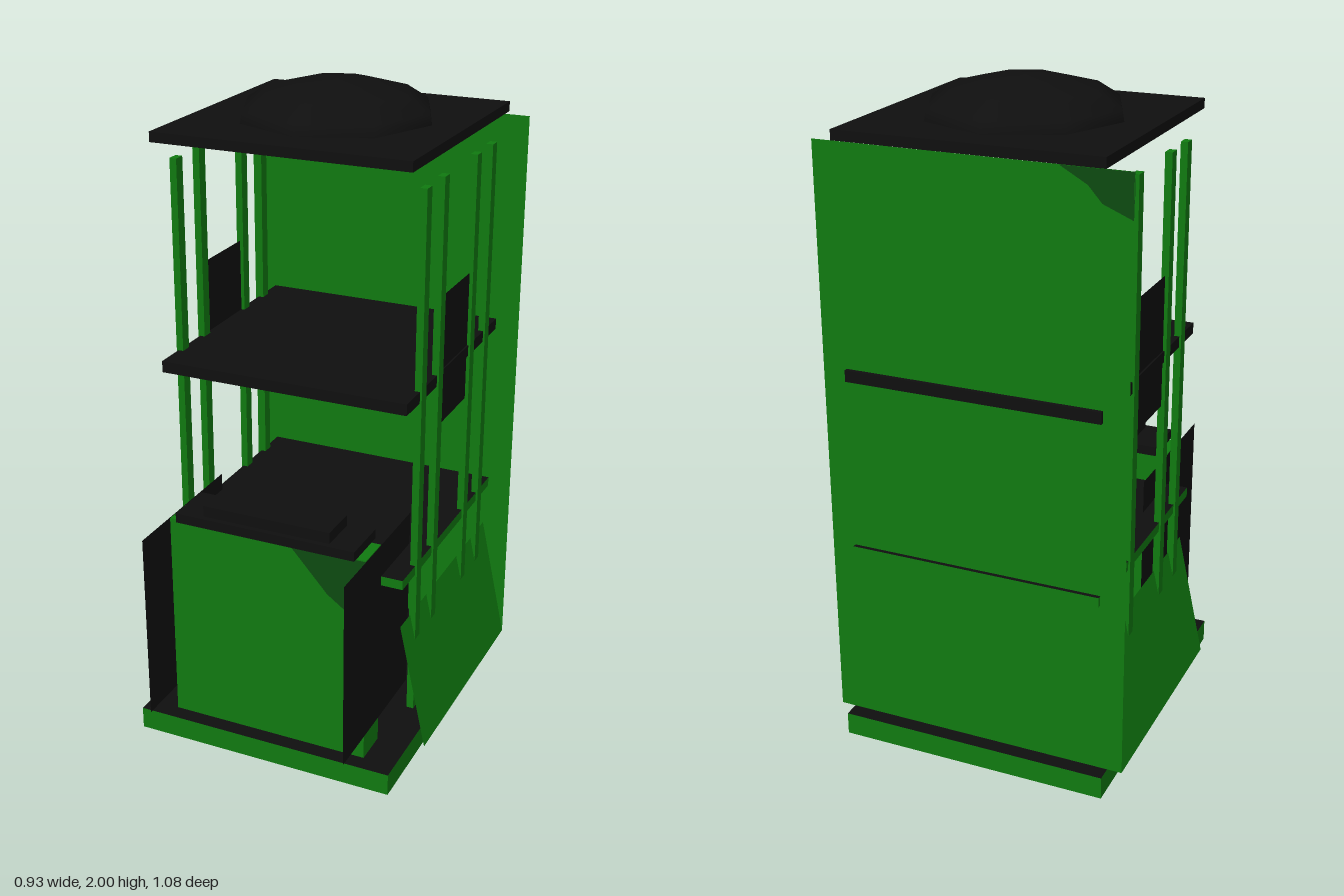
import * as THREE from 'three';

const mat = (name, color, side = THREE.FrontSide) => {
  const m = new THREE.MeshStandardMaterial({ color, side });
  m.name = name;
  return m;
};

export function createModel() {
  const green = mat('green', 0x107a10, THREE.DoubleSide);
  const darkGreen = mat('dark green', 0x0d4a10, THREE.DoubleSide);
  const black = mat('black', 0x0f0f0f, THREE.DoubleSide);
  const blackTopped = [green, green, black, black, green, green];
  const model = new THREE.Group();

  const add = (name, geometry, material) => {
    const mesh = new THREE.Mesh(geometry, material);
    mesh.name = name;
    model.add(mesh);
    return mesh;
  };
  // Box given by its limits on each axis
  const box = (name, x0, x1, y0, y1, z0, z1, material) => {
    const g = new THREE.BoxGeometry(x1 - x0, y1 - y0, z1 - z0);
    g.translate((x0 + x1) / 2, (y0 + y1) / 2, (z0 + z1) / 2);
    return add(name, g, material);
  };
  // Flat painted triangle facing front and back
  const triangle = (name, points, z) => {
    const shape = new THREE.Shape(points.map(([x, y]) => new THREE.Vector2(x, y)));
    add(name, new THREE.ShapeGeometry(shape).translate(0, 0, z), darkGreen);
  };

  // Base and shelves
  box('base', -0.42, 0.42, 0, 0.07, -0.54, 0.43, blackTopped);
  box('lowerShelf', -0.39, 0.39, 0.61, 0.64, -0.505, 0.27, blackTopped);
  box('upperShelf', -0.39, 0.39, 1.165, 1.2, -0.505, 0.27, black);

  // Thin back panel with a darker top corner
  add('backPanel', new THREE.PlaneGeometry(0.93, 1.785).translate(0, 0.9625, -0.492), green);
  for (const z of [-0.489, -0.495]) {
    triangle('backPanelCorner', [[-0.465, 1.855], [-0.465, 1.73], [-0.38, 1.765], [-0.34, 1.81], [-0.26, 1.855]], z);
  }

  // Roof with a faceted dome
  box('roof', -0.395, 0.395, 1.86, 1.89, -0.51, 0.28, black);
  const domeProfile = [[0.295, 1.89], [0.288, 1.922], [0.22, 1.965], [0.12, 1.99], [0, 2]]
    .map(([r, y]) => new THREE.Vector2(r, y));
  add('roofDome', new THREE.LatheGeometry(domeProfile, 8).translate(0, 0, -0.118), black);

  for (const s of [-1, 1]) {
    // Sloping side panel, leaning inward at the top
    const panel = new THREE.PlaneGeometry(0.742, 0.4).rotateY(s * Math.PI / 2);
    panel.translate(0, 0.27, -0.121);
    const p = panel.attributes.position;
    for (let i = 0; i < p.count; i++) p.setX(i, s * (p.getY(i) > 0.27 ? 0.378 : 0.465));
    panel.computeVertexNormals();
    add('sidePanel', panel, green);

    // Upright posts
    for (const z of [0.153, 0.018, -0.25, -0.385]) {
      box('post', s * 0.385 - 0.011, s * 0.385 + 0.011, 0.14, 1.79, z - 0.018, z + 0.018, green);
    }

    // Thin plate between the middle posts
    const plate = new THREE.PlaneGeometry(0.235, 0.405).rotateY(s * Math.PI / 2);
    add('postPlate', plate.translate(s * 0.385, 1.228, -0.117), black);

    // Thin plate on each side of the front cabinet
    const wing = new THREE.PlaneGeometry(0.495, 0.595).rotateY(s * Math.PI / 2);
    add('cabinetSidePlate', wing.translate(s * 0.322, 0.4475, 0.2925), black);
  }

  // Front cabinet with a stepped cap and a darker corner
  box('cabinet', -0.32, 0.32, 0.07, 0.745, 0.27, 0.38, green);
  box('cabinetCap', -0.29, 0.29, 0.745, 0.775, 0.24, 0.397, black);
  box('cabinetCapTop', -0.205, 0.205, 0.775, 0.81, 0.256, 0.38, black);
  triangle('cabinetCorner', [[0.08, 0.744], [0.2, 0.61], [0.32, 0.525], [0.32, 0.744]], 0.384);

  return model;
}
